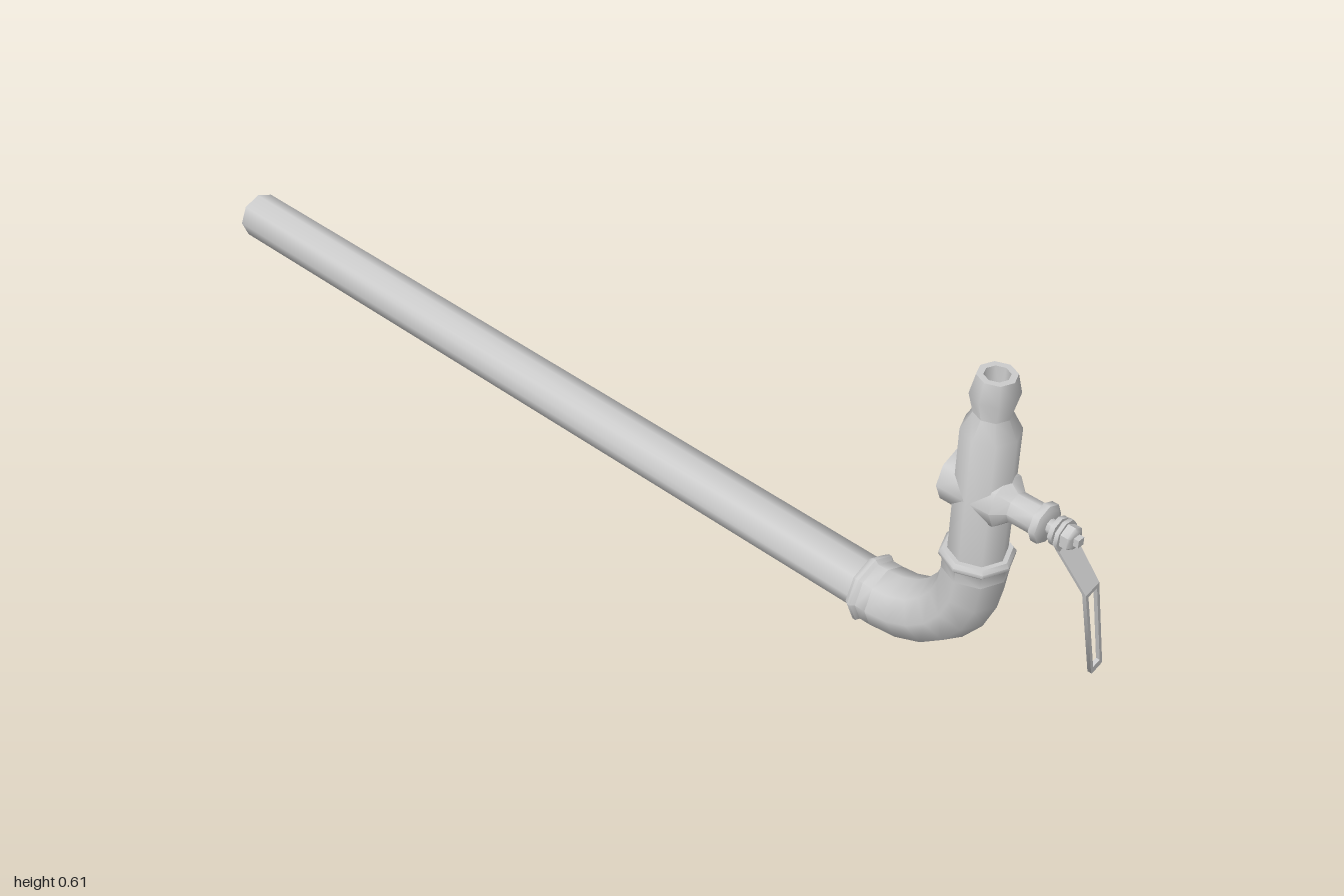
import * as THREE from 'three';
import { toCreasedNormals } from 'three/addons/utils/BufferGeometryUtils.js';

const CX = -0.013;      // common x of all pipe axes
const RISER_Z = 0.803;  // vertical pipe axis
const PIPE_Y = 0.061;   // horizontal pipe axis
const VALVE_Y = 0.385;  // valve spindle height
const BEND = 0.168;     // elbow centreline radius

const material = new THREE.MeshStandardMaterial({ color: 0xcccccc });
const openMaterial = new THREE.MeshStandardMaterial({ color: 0xcccccc, side: THREE.DoubleSide });

function part(name, geometry, mat = material) {
  const mesh = new THREE.Mesh(toCreasedNormals(geometry, 0.9), mat);
  mesh.name = name;
  return mesh;
}

// Turned profile of [radius, height] pairs, listed from bottom to top
function turned(profile, sides = 8) {
  return new THREE.LatheGeometry(profile.map(([r, h]) => new THREE.Vector2(r, h)), sides);
}

// Flat plate in the xy plane; the front face lies on z = 0 before bending
function plate(outline, hole, thickness) {
  const points = (list) => list.map(([x, y]) => new THREE.Vector2(x, y));
  const shape = new THREE.Shape(points(outline));
  if (hole) shape.holes.push(new THREE.Path(points(hole)));
  return new THREE.ExtrudeGeometry(shape, { depth: thickness, bevelEnabled: false }).translate(0, 0, -thickness);
}

export function createModel() {
  const model = new THREE.Group();
  model.name = 'pipeWithValve';

  // Long open pipe
  const pipe = part('longPipe', new THREE.CylinderGeometry(0.046, 0.046, 1.62, 8, 1, true).rotateX(Math.PI / 2), openMaterial);
  pipe.position.set(CX, PIPE_Y + 0.002, -0.19);
  model.add(pipe);

  // Elbow: quarter bend with a lipped socket at each end
  const elbow = new THREE.Group();
  elbow.name = 'elbow';
  elbow.position.set(CX, PIPE_Y + BEND, RISER_Z - BEND);
  elbow.add(part('elbowBend', new THREE.TorusGeometry(BEND, 0.055, 8, 6, Math.PI / 2).rotateY(-Math.PI / 2).rotateZ(Math.PI)));
  const socket = [[0.055, 0], [0.055, 0.02], [0.061, 0.026], [0.061, 0.032], [0.056, 0.039], [0.044, 0.039]];
  const upperSocket = part('upperSocket', turned(socket));
  upperSocket.position.z = BEND;
  const lowerSocket = part('lowerSocket', turned(socket));
  lowerSocket.rotation.x = -Math.PI / 2;
  lowerSocket.position.y = -BEND;
  elbow.add(upperSocket, lowerSocket);
  model.add(elbow);

  // Upright valve body with tapered hose nozzle and bore
  const body = part('valveBody', turned([
    [0.048, 0.255], [0.048, 0.503], [0.031, 0.535], [0.04, 0.57], [0.032, 0.605],
    [0.021, 0.605], [0.018, 0.54], [0, 0.54],
  ]));
  body.position.set(CX, 0, RISER_Z);
  model.add(body);

  // Everything on the spindle axis, heights measured along z
  const valve = new THREE.Group();
  valve.name = 'valve';
  valve.position.set(CX, VALVE_Y, 0);
  const addTurned = (name, profile, sides) => valve.add(part(name, turned(profile, sides).rotateX(Math.PI / 2)));
  addTurned('backCap', [[0, 0.745], [0.046, 0.745], [0.046, 0.8]]);
  addTurned('frontBoss', [[0.046, 0.8], [0.045, 0.845], [0.026, 0.864], [0.026, 0.91]]);
  addTurned('packingNut', [[0.026, 0.908], [0.034, 0.91], [0.034, 0.922], [0.026, 0.926], [0, 0.926]]);
  addTurned('spindle', [[0.012, 0.92], [0.012, 0.972]]);
  addTurned('spindleCollar', [[0, 0.938], [0.024, 0.938], [0.024, 0.946], [0, 0.946]]);
  addTurned('handleNut', [[0, 0.957], [0.021, 0.957], [0.021, 0.97], [0.016, 0.974], [0, 0.974]], 6);
  const tip = part('spindleTip', new THREE.BoxGeometry(0.014, 0.014, 0.014));
  tip.position.z = 0.976;
  valve.add(tip);

  // Lever handle: flat hub, outward slope, then a slotted hanging grip
  const handle = new THREE.Group();
  handle.name = 'leverHandle';
  handle.rotation.z = 0.243;
  const hub = plate([[-0.02, -0.02], [0.02, -0.02], [0.026, 0], [0.018, 0.018], [0, 0.025], [-0.018, 0.018], [-0.026, 0]], null, 0.007);
  hub.translate(0, 0, 0.957);
  handle.add(part('handleHub', hub));

  const neck = plate([[-0.017, -0.1], [0.017, -0.1], [0.02, -0.02], [-0.02, -0.02]], null, 0.007);
  const p = neck.attributes.position;
  for (let i = 0; i < p.count; i++) {
    p.setZ(i, p.getZ(i) + 0.957 + 0.043 * (-0.02 - p.getY(i)) / 0.08);
  }
  handle.add(part('handleNeck', neck));

  const grip = plate(
    [[-0.012, -0.303], [0.012, -0.303], [0.0145, -0.3], [0.017, -0.1], [-0.017, -0.1], [-0.0145, -0.3]],
    [[-0.0085, -0.29], [-0.011, -0.108], [0.011, -0.108], [0.0085, -0.29]], 0.007);
  grip.translate(0, 0, 1);
  handle.add(part('handleGrip', grip));
  valve.add(handle);
  model.add(valve);

  return model;
}
